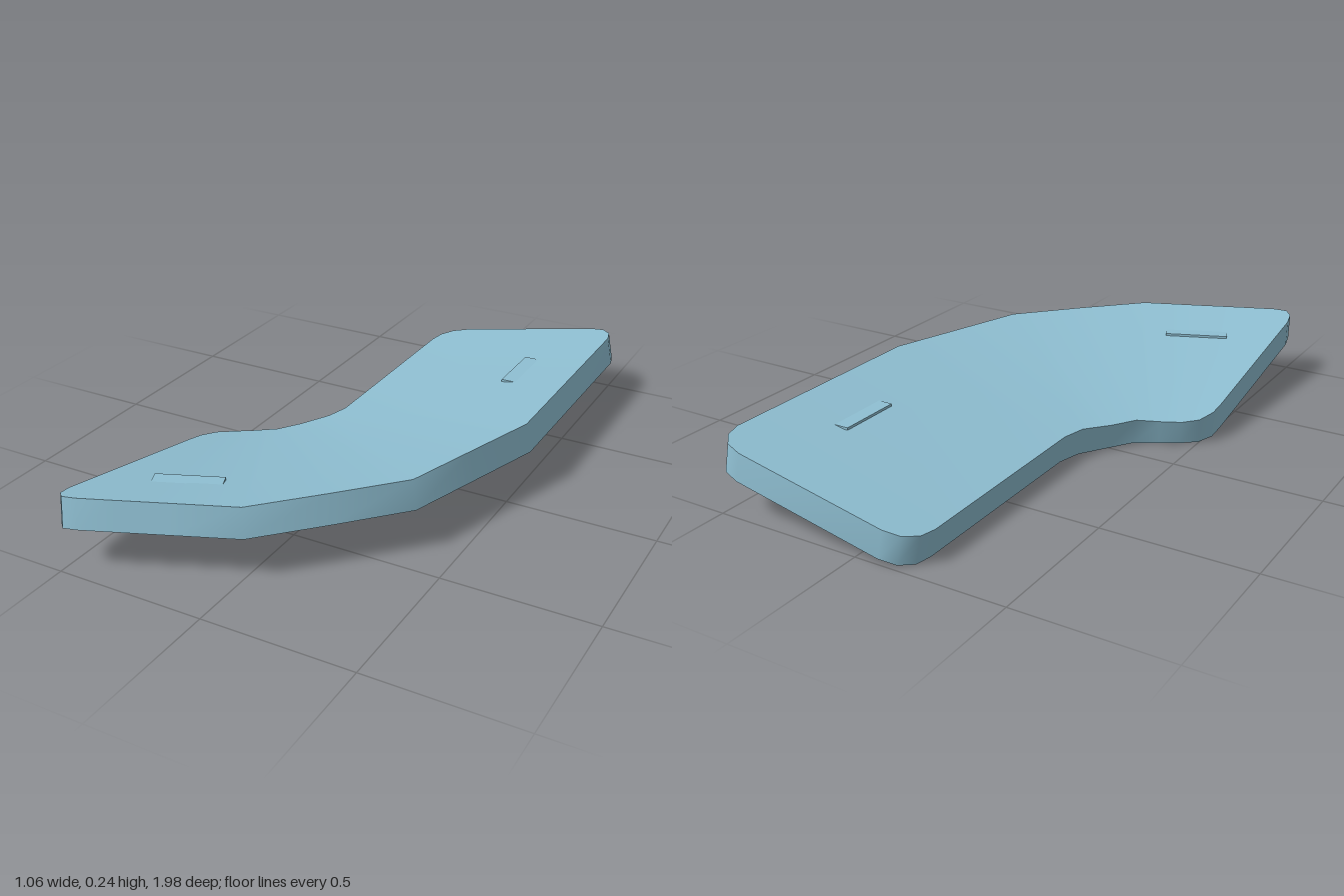
import * as THREE from 'three';
import { toCreasedNormals } from 'three/addons/utils/BufferGeometryUtils.js';

const SLOPE = 0.207, RIM = 0.241, DEPTH = 0.096, WALL = 0.007;

// Cross-sections along the bend: outer x, z, inner x, z
const STATIONS = [
  [0.41, -1, -0.1, -1], [0.465, -0.985, -0.155, -0.985],
  [0.5, -0.945, -0.19, -0.945], [0.515, -0.89, -0.2, -0.89],
  [0.515, -0.1, -0.2, -0.18], [0.435, 0.15, -0.22, -0.1],
  [0.357, 0.395, -0.28, -0.01], [0.18, 0.585, -0.33, 0.065],
  [0, 0.77, -0.4, 0.105], [-0.2, 0.852, -0.46, 0.14],
  [-0.34, 0.91, -0.505, 0.18], [-0.45, 0.955, -0.527, 0.24],
  [-0.495, 0.964, -0.53, 0.3], [-0.52, 0.94, -0.53, 0.6],
  [-0.53, 0.89, -0.53, 0.85],
];

// Banked planes, each hinged on one straight run of the outer edge
const PLANES = [[3, 4], [4, 6], [6, 8], [8, 11]].map(([a, b]) => {
  const [ax, az] = STATIONS[a], [bx, bz] = STATIONS[b];
  const g = new THREE.Vector2(bz - az, ax - bx).normalize();
  return { g, offset: g.x * ax + g.y * az };
});

// Surface height and uphill direction at a plan position
function bank(x, z) {
  const d = PLANES.map(p => p.offset - p.g.x * x - p.g.y * z);
  const min = Math.min(...d);
  const uphill = new THREE.Vector2();
  PLANES.forEach((p, i) => uphill.addScaledVector(p.g, Math.max(0, 0.03 - (d[i] - min))));
  return { y: RIM - SLOPE * min, uphill: uphill.normalize() };
}

// Point below the banked surface, measured square to it
function below(p, depth) {
  const { y, uphill } = bank(p.x, p.y);
  return [p.x + uphill.x * SLOPE * depth, Math.max(0, y - depth), p.y + uphill.y * SLOPE * depth];
}

function shellGeometry() {
  const n = STATIONS.length, m = 2 * n;
  const edge = [
    ...STATIONS.map(s => new THREE.Vector2(s[0], s[1])),
    ...STATIONS.map(s => new THREE.Vector2(s[2], s[3])).reverse(),
  ];
  // Plan outline moved inward by the wall thickness
  const inset = edge.map((p, i) => {
    const t = edge[(i + 1) % m].clone().sub(edge[(i + m - 1) % m]).normalize();
    return new THREE.Vector2(p.x - t.y * WALL, p.y + t.x * WALL);
  });
  // Rings: top edge, outer hem, inner hem, ceiling edge
  const rings = [[edge, 0], [edge, DEPTH], [inset, DEPTH], [inset, WALL]];
  const positions = rings.flatMap(([pts, depth]) => pts.flatMap(p => below(p, depth)));
  const index = [];
  const quad = (a, b, c, d) => index.push(a, b, c, a, c, d);
  for (let r = 0; r < 3; r++) {
    for (let i = 0; i < m; i++) {
      const j = (i + 1) % m;
      quad(r * m + i, r * m + j, (r + 1) * m + j, (r + 1) * m + i);
    }
  }
  // Top skin and ceiling
  for (let k = 0; k < n - 1; k++) {
    const a = m - 1 - k, b = m - 2 - k, c = k + 1, d = k, o = 3 * m;
    quad(a, b, c, d);
    quad(o + d, o + c, o + b, o + a);
  }
  const geometry = new THREE.BufferGeometry();
  geometry.setAttribute('position', new THREE.Float32BufferAttribute(positions, 3));
  geometry.setIndex(index);
  return toCreasedNormals(geometry, 0.6);
}

export function createModel() {
  const group = new THREE.Group();
  group.name = 'bankedCornerPanel';
  const material = new THREE.MeshStandardMaterial({ color: 0x8fbfd2, side: THREE.DoubleSide });

  const shell = new THREE.Mesh(shellGeometry(), material);
  shell.name = 'bankedShell';
  group.add(shell);

  // Level tabs set halfway into the sloping skin
  [[0.33, -0.56, 0], [-0.26, 0.68, 3]].forEach(([x, z, plane], i) => {
    const { g } = PLANES[plane];
    const tab = new THREE.Mesh(new THREE.BoxGeometry(0.1, 0.008, 0.22), material);
    tab.name = i ? 'frontTab' : 'backTab';
    tab.position.set(x, bank(x, z).y - 0.004, z);
    tab.rotation.y = -Math.atan2(g.y, g.x);
    group.add(tab);
  });
  return group;
}
